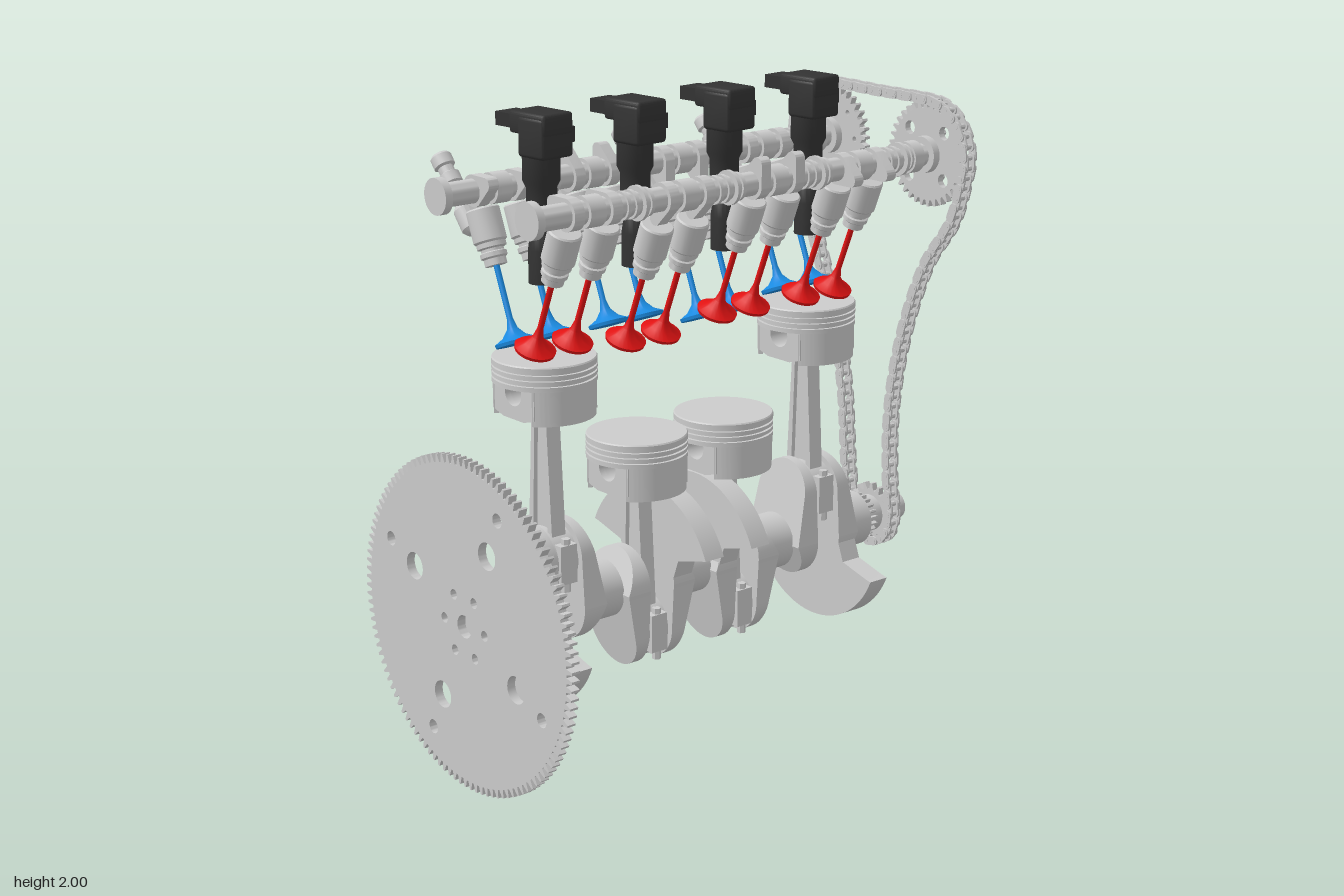
import * as THREE from 'three';
import { mergeGeometries, toCreasedNormals } from 'three/addons/utils/BufferGeometryUtils.js';
import { RoundedBoxGeometry } from 'three/addons/geometries/RoundedBoxGeometry.js';

const paint = color => new THREE.MeshStandardMaterial({ color });
const grey = paint(0xcccccc), red = paint(0xe01212), blue = paint(0x1a8ae0), dark = paint(0x333333);
const AXIS = 0.515, CAM_Y = 1.745, CAM_Z = 0.22, THROW = 0.15, ROD = 0.525, TILT = 0.39;
const CYLINDERS = [-0.573, -0.23, 0.115, 0.458];

function add(parent, name, geo, mat = grey) {
  const m = new THREE.Mesh(toCreasedNormals(geo, 0.6), mat);
  m.name = name;
  parent.add(m);
  return m;
}
function group(parent, name, x = 0, y = 0, z = 0) {
  const g = new THREE.Group();
  g.name = name;
  g.position.set(x, y, z);
  parent.add(g);
  return g;
}
const vecs = pts => pts.map(p => new THREE.Vector2(...p));
const lathe = (pts, seg = 32) => new THREE.LatheGeometry(vecs(pts), seg);
// Lathe along x; points are [radius, x] from high x to low x
const latheX = (pts, seg = 32) => lathe(pts.map(([r, x]) => [r, -x]), seg).rotateZ(Math.PI / 2);
const cylX = (r, x0, x1, seg = 32) =>
  new THREE.CylinderGeometry(r, r, x1 - x0, seg).rotateZ(Math.PI / 2).translate((x0 + x1) / 2, 0, 0);
const box = (w, h, d, x, y, z) => new THREE.BoxGeometry(w, h, d).translate(x, y, z);
// Flat shape (drawn in -z, y) thickened from x0 to x1
const slab = (shape, x0, x1, seg = 16) =>
  new THREE.ExtrudeGeometry(shape, { depth: x1 - x0, bevelEnabled: false, curveSegments: seg })
    .rotateY(Math.PI / 2).translate(x0, 0, 0);
const hole = (u, v, r) => new THREE.Path().absarc(u, v, r, 0, Math.PI * 2, true);
function disc(r, ...holes) {
  const s = new THREE.Shape().absarc(0, 0, r, 0, Math.PI * 2);
  s.holes.push(...holes);
  return s;
}
const ringHoles = (n, radius, r, start = 0) => Array.from({ length: n }, (_, i) => {
  const a = start + i * Math.PI * 2 / n;
  return hole(radius * Math.cos(a), radius * Math.sin(a), r);
});
function gear(root, tip, teeth, holes = []) {
  const pts = [];
  for (let i = 0; i < teeth; i++)
    for (const [f, r] of [[0, root], [0.3, root], [0.5, tip], [0.75, tip]]) {
      const a = (i + f) / teeth * Math.PI * 2;
      pts.push([r * Math.cos(a), r * Math.sin(a)]);
    }
  const s = new THREE.Shape(vecs(pts));
  s.holes.push(...holes);
  return s;
}

function flywheel(parent) {
  const g = group(parent, 'flywheel', 0, AXIS, 0);
  const holes = [...ringHoles(4, 0.277, 0.042, 0.45), ...ringHoles(4, 0.41, 0.022, 0.44),
    ...ringHoles(6, 0.1, 0.016), hole(0, 0, 0.035)];
  add(g, 'ringGearDisc', slab(gear(0.49, 0.515, 116, holes), -0.88, -0.852, 20));
  for (const r of [0.36, 0.465])
    add(g, 'discRidge', new THREE.TorusGeometry(r, 0.007, 8, 64).rotateY(Math.PI / 2).translate(-0.852, 0, 0));
}

// One crank cheek, pin upward, outer face toward +x
function crankWeb(parent, heavy) {
  const g = group(parent, 'crankWeb');
  const slanted = (shape, end) => {
    const geo = slab(shape, 0.045, 0.13), p = geo.attributes.position;
    for (let i = 0; i < p.count; i++)
      if (p.getX(i) > 0.1) p.setX(i, 0.13 - 0.055 * p.getY(i) / end);
    return geo;
  };
  const top = new THREE.Shape().moveTo(0.12, 0).lineTo(0.11, 0.15);
  top.absarc(0, THROW, 0.11, 0, Math.PI).lineTo(-0.12, 0);
  add(g, 'pinCheek', slanted(top, 0.26));
  add(g, 'lowerCheek', slanted(new THREE.Shape().absarc(0, 0, 0.12, Math.PI, Math.PI * 2), -0.12));
  if (heavy) {
    const s = new THREE.Shape().moveTo(0.11, 0).lineTo(-0.11, 0).lineTo(-0.14, -0.08).lineTo(-0.25, -0.11);
    s.absarc(0, 0, 0.292, Math.PI + 0.4, Math.PI * 2 - 0.4).lineTo(0.25, -0.11).lineTo(0.14, -0.08);
    add(g, 'counterweight', slab(s, 0.045, 0.117, 24));
  }
  return g;
}

function crankshaft(parent) {
  const g = group(parent, 'crankshaft', 0, AXIS, 0);
  add(g, 'flywheelFlange', latheX([[0, -0.79], [0.148, -0.79], [0.155, -0.797], [0.155, -0.852], [0, -0.852]], 40));
  for (const x of [-0.745, -0.402, -0.057, 0.287, 0.63]) add(g, 'mainJournal', cylX(0.09, x - 0.047, x + 0.047));
  CYLINDERS.forEach((x, i) => {
    const up = i === 0 || i === 3;
    add(g, 'crankPin', cylX(0.065, x - 0.06, x + 0.06)).position.y = up ? THROW : -THROW;
    for (const side of [-1, 1]) {
      const web = crankWeb(g, side === (i % 2 ? 1 : -1));
      web.position.x = x;
      web.rotation.set(up ? 0 : Math.PI, side < 0 ? Math.PI : 0, 0);
    }
  });
  add(g, 'noseShaft', latheX([[0.025, 0.85], [0.025, 0.875], [0.045, 0.875], [0.045, 0.8], [0.06, 0.8], [0.06, 0.67], [0, 0.67]]));
  add(g, 'pumpSprocket', slab(gear(0.055, 0.072, 20), 0.695, 0.722));
  add(g, 'timingSprocket', slab(gear(0.078, 0.1, 18), 0.755, 0.775));
}

function pistonAndRod(parent, x, up) {
  const pinY = AXIS + (up ? THROW : -THROW);
  const p = group(parent, 'piston', x, pinY + ROD, 0);
  // Crown with ring grooves
  const prof = [[0, 0.022], [0.155, 0.022]];
  for (const y of [0.036, 0.053, 0.07]) prof.push([0.155, y], [0.145, y], [0.145, y + 0.006], [0.155, y + 0.006]);
  add(p, 'crown', lathe([...prof, [0.155, 0.092], [0.152, 0.096], [0, 0.096]], 48));
  // Skirts front and back, pin walls left and right
  for (const a of [0, Math.PI]) {
    const s = new THREE.Shape().absarc(0, 0, 0.15, Math.PI / 2 - 0.9, Math.PI / 2 + 0.9);
    s.absarc(0, 0, 0.135, Math.PI / 2 + 0.9, Math.PI / 2 - 0.9, true);
    const geo = new THREE.ExtrudeGeometry(s, { depth: 0.107, bevelEnabled: false, curveSegments: 20 });
    add(p, 'skirt', geo.rotateX(Math.PI / 2).translate(0, 0.025, 0)).rotation.y = a;
  }
  const wall = new THREE.Shape(vecs([[-0.1, 0.03], [-0.1, -0.065], [-0.05, -0.08], [0.05, -0.08], [0.1, -0.065], [0.1, 0.03]]));
  wall.holes.push(hole(0, 0, 0.04));
  for (const s of [-1, 1]) {
    add(p, 'pinWall', slab(wall, s * 0.105 - 0.01, s * 0.105 + 0.01));
    add(p, 'pinBoss', slab(disc(0.055, hole(0, 0, 0.04)), s * 0.078 - 0.035, s * 0.078 + 0.035));
  }

  const r = group(parent, 'connectingRod', x, pinY, 0);
  add(r, 'bigEnd', slab(disc(0.095, hole(0, 0, 0.063)), -0.042, 0.042, 24));
  add(r, 'smallEnd', slab(disc(0.057, hole(0, 0, 0.04)), -0.036, 0.036, 20).translate(0, ROD, 0));
  add(r, 'shank', slab(new THREE.Shape(vecs([[-0.05, 0.08], [0.05, 0.08], [0.03, 0.48], [-0.03, 0.48]])), -0.011, 0.011));
  for (const s of [-1, 1]) {
    const strip = vecs([[s * 0.057, 0.06], [s * 0.035, 0.07], [s * 0.02, 0.48], [s * 0.033, 0.48]]);
    add(r, 'shankFlange', slab(new THREE.Shape(strip), -0.025, 0.025));
    add(r, 'capLug', box(0.06, 0.12, 0.035, 0, 0, s * 0.088));
    add(r, 'capBolt', new THREE.CylinderGeometry(0.014, 0.014, 0.165, 6).translate(0, -0.005, s * 0.09));
  }
}

function camshaft(parent, side) {
  const g = group(parent, side > 0 ? 'exhaustCamshaft' : 'intakeCamshaft', 0, CAM_Y, side * CAM_Z);
  add(g, 'shaft', cylX(0.036, -0.785, 0.8));
  add(g, 'endFlange', cylX(0.055, -0.79, -0.765));
  add(g, 'frontJournal', cylX(0.05, 0.66, 0.7));
  // Nose angle of each cylinder's lobes, measured from +z toward +y
  const angles = (side > 0 ? [157, -113, 67, -23] : [23, 113, -67, -157]).map(a => a * Math.PI / 180);
  CYLINDERS.forEach((x, i) => {
    const lobe = new THREE.Shape().absarc(0, 0, 0.048, Math.PI / 2 - 0.25, Math.PI * 1.5 + 0.25);
    lobe.absarc(0.065, 0, 0.022, -Math.PI / 2 + 0.25, Math.PI / 2 - 0.25);
    const open = i === (side > 0 ? 1 : 2);
    for (const dx of [-0.0675, 0.0675]) {
      const l = add(g, 'camLobe', slab(lobe, -0.018, 0.018));
      l.position.x = x + dx;
      l.rotation.x = Math.PI - angles[i];
      valve(g, x + dx, side, open);
    }
    add(g, 'bearingJournal', cylX(0.047, x - 0.028, x + 0.028));
    for (const dx of [0.115, 0.145, 0.172, 0.2]) add(g, 'shaftCollar', cylX(dx === 0.172 ? 0.052 : 0.043, x + dx - 0.006, x + dx + 0.006));
  });
  // Timing sprocket and hub
  const holes = side > 0 ? ringHoles(4, 0.105, 0.021, Math.PI / 4) : ringHoles(8, 0.115, 0.009);
  add(g, 'camSprocket', slab(gear(0.145, 0.165, 36, holes), 0.755, 0.777));
  add(g, 'sprocketHub', latheX([[0, 0.79], [0.02, 0.79], [0.02, 0.81], [0.042, 0.81], [0.058, 0.795], [0.058, 0.73], [0, 0.73]]));
  for (let i = 0; i < 6; i++)
    add(g, 'hubBolt', cylX(0.01, 0.775, 0.79, 6).translate(0, 0.08 * Math.sin(i * Math.PI / 3), 0.08 * Math.cos(i * Math.PI / 3)));
}

function valve(parent, x, side, open) {
  const tilt = group(parent, 'valveAssembly', x);
  tilt.rotation.x = side * TILT;
  const v = group(tilt, 'valveTrain', 0, open ? -0.035 : 0, 0);
  add(v, 'tappet', lathe([[0, -0.225], [0.033, -0.225], [0.033, -0.205], [0.04, -0.2], [0.04, -0.187], [0.034, -0.184],
    [0.034, -0.176], [0.044, -0.172], [0.044, -0.158], [0.05, -0.152], [0.05, -0.06], [0.046, -0.055], [0, -0.055]], 24));
  add(v, side > 0 ? 'exhaustValve' : 'intakeValve', lathe([[0, -0.462], [0.06, -0.462], [0.062, -0.452], [0.035, -0.438],
    [0.016, -0.415], [0.009, -0.385], [0.009, -0.2], [0, -0.2]], 24), side > 0 ? red : blue);
}

function ignitionCoil(parent, x) {
  const g = group(parent, 'ignitionCoil', x, 0, 0);
  g.rotation.y = 0.08;
  add(g, 'coilBoot', lathe([[0, 1.5], [0.042, 1.5], [0.042, 1.6], [0.036, 1.64], [0.03, 1.65], [0.03, 1.7], [0.045, 1.72],
    [0.045, 1.78], [0.055, 1.8], [0.055, 1.9], [0, 1.9]], 20), dark);
  add(g, 'coilBody', new RoundedBoxGeometry(0.12, 0.12, 0.11, 2, 0.012).translate(0, 1.93, 0.02), dark);
  add(g, 'coilCap', new RoundedBoxGeometry(0.115, 0.065, 0.15, 2, 0.01).translate(0, 1.9675, 0.002), dark);
  add(g, 'plugSocket', box(0.08, 0.04, 0.1, 0, 1.965, -0.1), dark);
  add(g, 'mountingTab', box(0.05, 0.045, 0.05, 0.075, 1.925, 0.01), dark);
}

function injector(parent, x) {
  const g = group(parent, 'injector', x, 1.59, -0.335);
  g.rotation.x = -0.69;
  add(g, 'injectorBody', lathe([[0, 0], [0.022, 0], [0.034, 0.015], [0.034, 0.08], [0.02, 0.1], [0.02, 0.16], [0.033, 0.17],
    [0.033, 0.2], [0.024, 0.205], [0.024, 0.225], [0.033, 0.23], [0.033, 0.262], [0.026, 0.27], [0, 0.27]], 20));
  add(g, 'injectorPlug', box(0.035, 0.06, 0.04, 0, 0.065, 0.03));
}

function timingChain(parent) {
  const path = [];
  const arc = (z, y, r, from, to) => {
    for (let i = 0; i <= 6; i++) {
      const a = (from + (to - from) * i / 6) * Math.PI / 180;
      path.push(new THREE.Vector3(0.765, y + r * Math.sin(a), z + r * Math.cos(a)));
    }
  };
  const run = pts => pts.forEach(([z, y]) => path.push(new THREE.Vector3(0.765, y, z)));
  arc(0, AXIS, 0.095, 0, -180);
  run([[-0.115, 0.65], [-0.14, 0.915], [-0.187, 1.13], [-0.285, 1.39], [-0.345, 1.55]]);
  arc(-CAM_Z, CAM_Y, 0.17, 200, 90);
  run([[0, 1.915]]);
  arc(CAM_Z, CAM_Y, 0.17, 90, -20);
  run([[0.335, 1.55], [0.225, 1.39], [0.135, 1.16], [0.085, 0.915], [0.08, 0.68]]);
  const curve = new THREE.CatmullRomCurve3(path, true);
  const count = 2 * Math.round(curve.getLength() / 0.066), pitch = curve.getLength() / count;
  const plate = new THREE.Shape().absarc(pitch / 2, 0, 0.015, -Math.PI / 2, Math.PI / 2);
  plate.absarc(-pitch / 2, 0, 0.015, Math.PI / 2, Math.PI * 1.5);
  const links = [];
  for (let i = 0; i < count; i++) {
    const c = curve.getPointAt(i / count), t = curve.getTangentAt(i / count), off = i % 2 ? 0.014 : 0.021;
    const parts = [-off, off].map(o => slab(plate, o - 0.003, o + 0.003, 5));
    parts.push(cylX(0.009, -0.025, 0.025, 8).toNonIndexed().translate(0, 0, pitch / 2));
    for (const p of parts) links.push(p.rotateX(Math.atan2(-t.y, t.z)).translate(c.x, c.y, c.z));
  }
  add(parent, 'timingChain', mergeGeometries(links));
}

export function createModel() {
  const engine = new THREE.Group();
  engine.name = 'engineInternals';
  flywheel(engine);
  crankshaft(engine);
  CYLINDERS.forEach((x, i) => {
    pistonAndRod(engine, x, i === 0 || i === 3);
    ignitionCoil(engine, x);
    injector(engine, x);
  });
  camshaft(engine, 1);
  camshaft(engine, -1);
  timingChain(engine);
  return engine;
}
